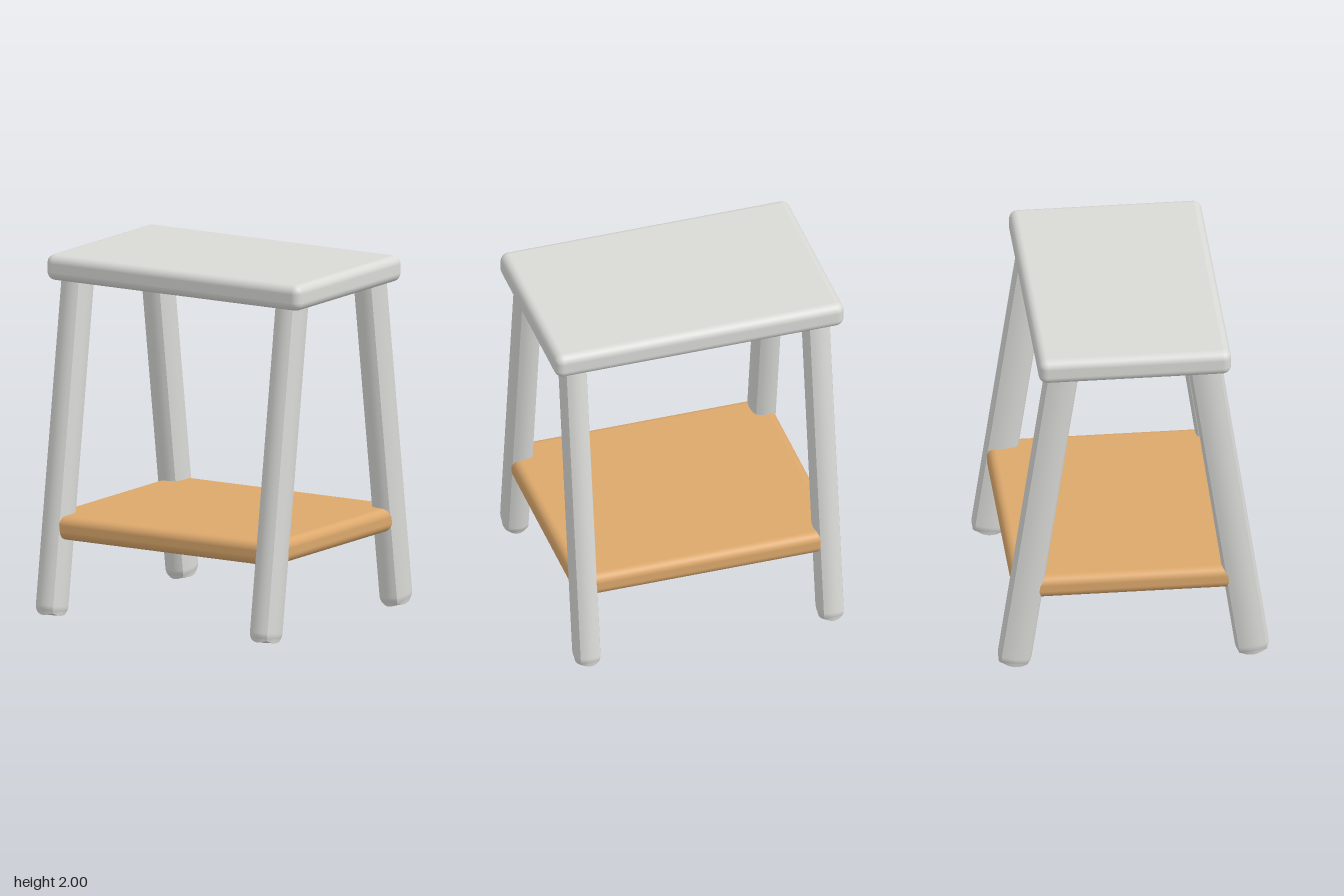
import * as THREE from 'three';
import { RoundedBoxGeometry } from 'three/addons/geometries/RoundedBoxGeometry.js';

// Square leg with slightly bulging faces, sharp long edges and a domed foot.
function legGeometry(length) {
  const hx = 0.057, hz = 0.078, bulge = 0.016, end = 0.04;
  const geo = new THREE.BoxGeometry(2, 2, 2, 6, 12, 6);
  const pos = geo.attributes.position;
  for (let i = 0; i < pos.count; i++) {
    const u = pos.getX(i), v = pos.getY(i), w = pos.getZ(i);
    // keep the straight part long and gather rings near the foot
    const t = (v + 1) / 2;
    let y = t < 0.5 ? t * 2 * end : end + (t * 2 - 1) * (length - end);
    const near = Math.max(0, 1 - y / end);
    const s = 1 - 0.13 * near * near;
    const x = u * (hx + bulge * (1 - w * w)) * s;
    const z = w * (hz + bulge * (1 - u * u)) * s;
    if (v === -1) y -= 0.014 * (1 - u * u * w * w);
    pos.setXYZ(i, x, y, z);
  }
  geo.computeVertexNormals();
  return geo;
}

export function createModel() {
  const group = new THREE.Group();
  const paint = new THREE.MeshStandardMaterial({ color: 0xd9d9d6 });
  paint.name = 'pale grey paint';
  const wood = new THREE.MeshStandardMaterial({ color: 0xdca86c });
  wood.name = 'tan wood';

  const add = (name, geo, mat, x, y, z) => {
    const mesh = new THREE.Mesh(geo, mat);
    mesh.name = name;
    mesh.position.set(x, y, z);
    group.add(mesh);
    return mesh;
  };

  // Seat board and lower shelf
  add('seat', new RoundedBoxGeometry(1.67, 0.145, 1.066, 5, 0.048), paint, 0, 1.9275, 0);
  add('shelf', new RoundedBoxGeometry(1.526, 0.134, 1.34, 5, 0.05), wood, 0, 0.502, 0);

  // Four legs, splayed to the front and back
  const leg = legGeometry(1.9);
  const tilt = 0.144;
  for (const [side, sx] of [['Left', 1], ['Right', -1]]) {
    for (const [end, sz] of [['front', 1], ['back', -1]]) {
      const mesh = add(end + side + 'Leg', leg, paint, sx * 0.703, 0.025, sz * 0.662);
      mesh.rotation.x = -sz * tilt;
    }
  }
  return group;
}
